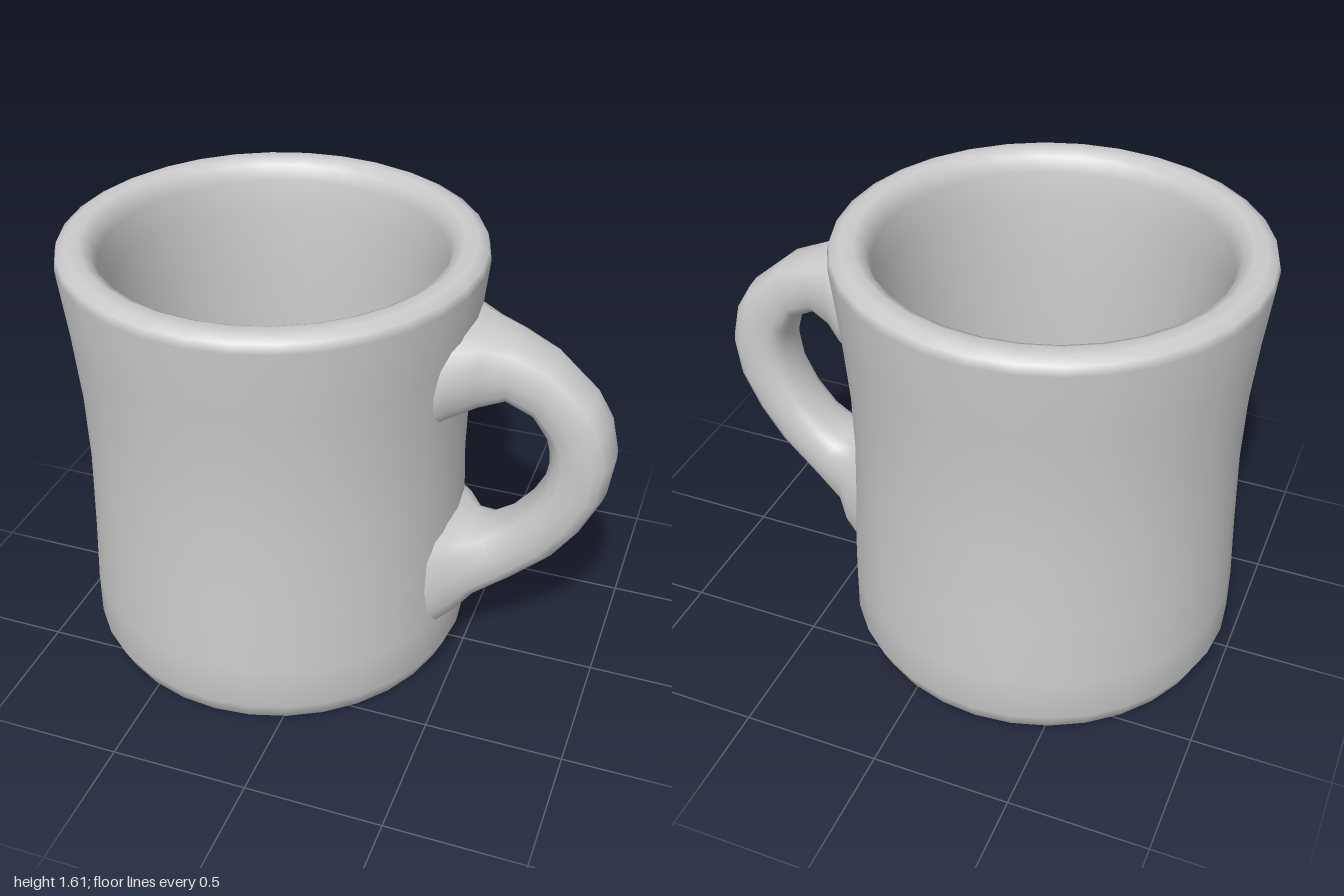
import * as THREE from 'three';

const material = new THREE.MeshStandardMaterial({ color: 0xcccccc, side: THREE.DoubleSide });

// Waisted cup with a thick rounded rim, turned as one closed wall
function makeCup() {
  const profile = [
    [0, 0], [0.665, 0], [0.682, 0.003], [0.718, 0.08], [0.717, 0.25], [0.705, 0.5], [0.695, 0.8],
    [0.7, 1.05], [0.72, 1.3], [0.748, 1.56], [0.74, 1.592], [0.705, 1.61], [0.66, 1.61], [0.625, 1.592],
    [0.605, 1.54], [0.59, 1.42], [0.575, 1.2], [0.57, 0.85], [0.575, 0.4], [0.56, 0.2],
    [0.5, 0.13], [0.35, 0.11], [0, 0.1],
  ].map(([r, y]) => new THREE.Vector2(r, y));
  const cup = new THREE.Mesh(new THREE.LatheGeometry(profile, 32), material);
  cup.name = 'cup';
  cup.position.x = -0.25;
  return cup;
}

// Handle lofted through rounded sections that flare where they meet the cup
function makeHandle() {
  // outer x, outer y, inner x, inner y, half width
  const sections = [
    [0.35, 1.42, 0.35, 1.02, 0.29],
    [0.45, 1.415, 0.45, 1.085, 0.25],
    [0.54, 1.4, 0.53, 1.115, 0.175],
    [0.63, 1.375, 0.62, 1.15, 0.14],
    [0.76, 1.32, 0.71, 1.1, 0.122],
    [0.91, 1.19, 0.76, 1.02, 0.12],
    [0.97, 1.09, 0.772, 0.97, 0.12],
    [1.0, 0.96, 0.775, 0.92, 0.12],
    [0.98, 0.81, 0.76, 0.83, 0.12],
    [0.91, 0.66, 0.71, 0.73, 0.12],
    [0.82, 0.53, 0.64, 0.645, 0.122],
    [0.67, 0.39, 0.56, 0.59, 0.132],
    [0.55, 0.3, 0.5, 0.585, 0.165],
    [0.49, 0.23, 0.45, 0.62, 0.23],
    [0.36, 0.1, 0.35, 0.68, 0.29],
  ];
  const sides = 16;
  const soften = (v) => Math.sign(v) * Math.pow(Math.abs(v), 0.75);
  const positions = [];
  const index = [];
  sections.forEach(([ox, oy, ix, iy, w], i) => {
    for (let j = 0; j < sides; j++) {
      const a = (j / sides) * Math.PI * 2;
      const t = (1 + soften(Math.cos(a))) / 2;
      positions.push(ix + (ox - ix) * t, iy + (oy - iy) * t, w * soften(Math.sin(a)));
      if (i === sections.length - 1) continue;
      const k = (j + 1) % sides;
      const p = i * sides + j, q = i * sides + k;
      index.push(p, q, p + sides, q, q + sides, p + sides);
    }
  });
  const geometry = new THREE.BufferGeometry();
  geometry.setAttribute('position', new THREE.Float32BufferAttribute(positions, 3));
  geometry.setIndex(index);
  geometry.computeVertexNormals();
  const handle = new THREE.Mesh(geometry, material);
  handle.name = 'handle';
  return handle;
}

export function createModel() {
  const mug = new THREE.Group();
  mug.name = 'mug';
  mug.add(makeCup(), makeHandle());
  return mug;
}
